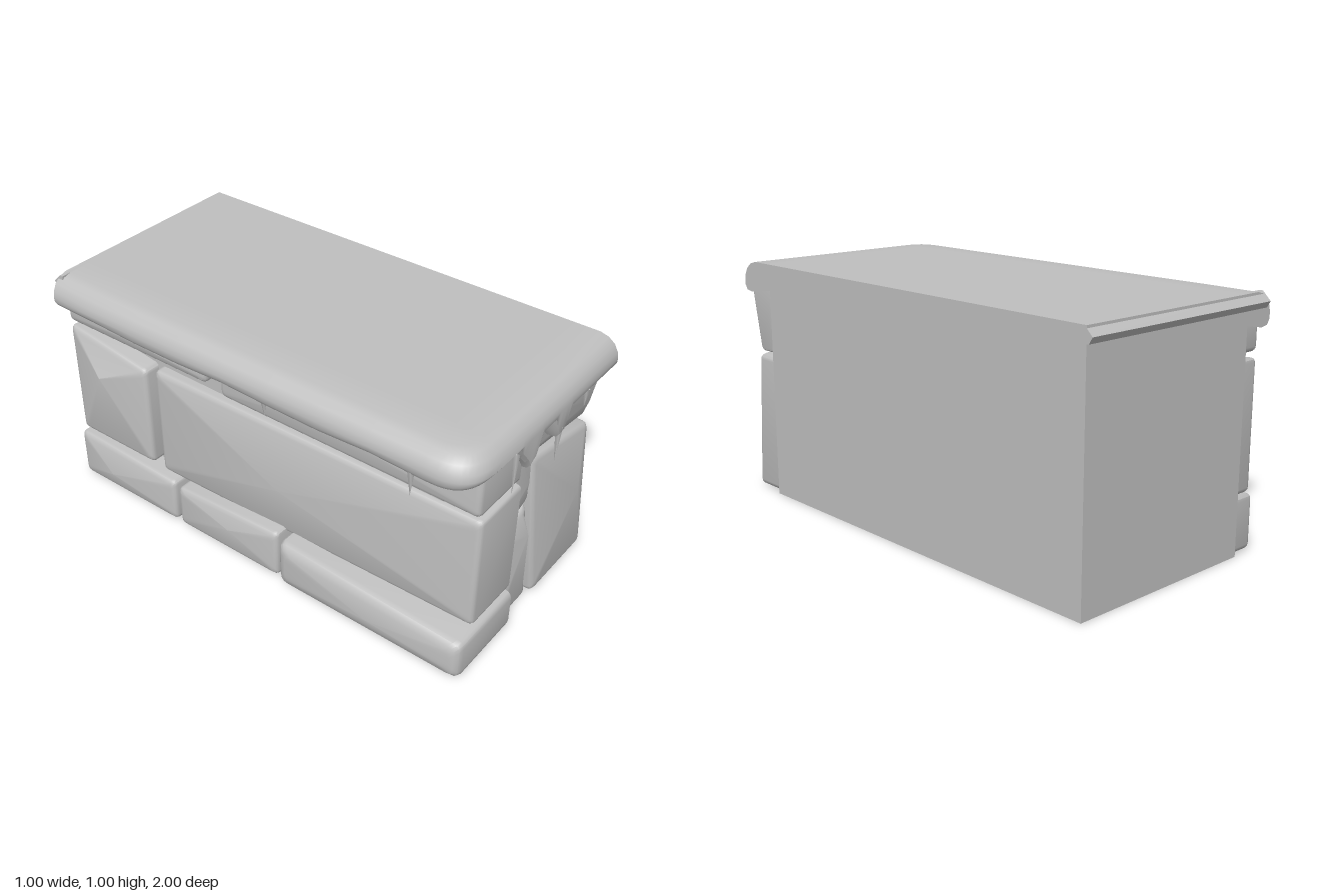
import * as THREE from 'three';
import { toCreasedNormals } from 'three/addons/utils/BufferGeometryUtils.js';

const grey = new THREE.MeshStandardMaterial({ color: 0xc0c0c0 });
grey.name = 'stoneGrey';

// Move every edge of a counter-clockwise polygon inwards by d
function inset(poly, d) {
  const n = poly.length;
  return poly.map((p, i) => {
    const a = poly[(i + n - 1) % n], b = poly[(i + 1) % n];
    const e1 = p.clone().sub(a).normalize(), e2 = b.clone().sub(p).normalize();
    const n1 = new THREE.Vector2(-e1.y, e1.x), n2 = new THREE.Vector2(-e2.y, e2.x);
    return n1.clone().add(n2).multiplyScalar(d / (1 + n1.dot(n2))).add(p);
  });
}

// Replace each corner by a short curve
function rounded(poly, r) {
  const out = [], n = poly.length;
  poly.forEach((p, i) => {
    const a = poly[(i + n - 1) % n].clone().sub(p).setLength(r).add(p);
    const b = poly[(i + 1) % n].clone().sub(p).setLength(r).add(p);
    const curve = new THREE.QuadraticBezierCurve(a, p, b);
    out.push(...curve.getPoints(3));
  });
  return out;
}

// Surface through a list of equal-length loops of [x, y, z] points
function loft(loops, closed, extra = []) {
  const n = loops[0].length, pos = loops.flat(2), idx = [...extra];
  for (let i = 0; i < loops.length - 1; i++) {
    for (let j = 0; j < (closed ? n : n - 1); j++) {
      const k = (j + 1) % n, a = i * n + j, b = i * n + k;
      idx.push(a, b, a + n, b, b + n, a + n);
    }
  }
  const g = new THREE.BufferGeometry();
  g.setAttribute('position', new THREE.Float32BufferAttribute(pos, 3));
  g.setIndex(idx);
  return toCreasedNormals(g, 0.6);
}

// Bevelled stone: outline in (u, v), rising from base to a sloped rim and a peak
function stone({ outline, base, rim, peak, slope = [0, 0], bevel = 0.022, round = 0.02 }) {
  const poly = outline.map(p => new THREE.Vector2(...p));
  const c = poly.reduce((s, p) => s.add(p), new THREE.Vector2()).divideScalar(poly.length);
  const depth = p => rim + slope[0] * (p.x - c.x) + slope[1] * (p.y - c.y);
  const loops = [rounded(poly, round).map(p => [p.x, p.y, base])];
  for (let k = 0; k <= 3; k++) {
    const t = k / 3 * Math.PI / 2;
    const loop = rounded(inset(poly, bevel * (1 - Math.cos(t))), round);
    loops.push(loop.map(p => [p.x, p.y, depth(p) - bevel * (1 - Math.sin(t))]));
  }
  loops.push(loops[0].map(() => peak));
  return loft(loops, true);
}

// Lower edge of the snow along the front
const DRIPS = [[0.5, 0.87], [0.16, 0.87], [0.14, 0.83], [0.12, 0.79], [0.09, 0.785], [0.07, 0.82],
  [0.05, 0.87], [-0.04, 0.87], [-0.075, 0.79], [-0.11, 0.77], [-0.13, 0.805], [-0.17, 0.85],
  [-0.2, 0.893], [-0.34, 0.895], [-0.37, 0.87]];

function snowGeometry() {
  const W = 0.19, path = [];
  // Each step: inner point, outward vector and lower edge
  DRIPS.forEach(([x, b], i) => {
    if (x > -0.31) path.push([x, 0.81, 0, 1, b]);
  });
  for (let i = 0; i <= 10; i++) {
    const t = i / 10 * Math.PI / 2;
    const f = v => Math.pow(Math.max(v, 0), 0.7);
    path.push([-0.31, 0.81, -f(Math.sin(t)), f(Math.cos(t)), 0.89 - 0.025 * Math.sin(t)]);
  }
  for (let i = 1; i <= 8; i++) {
    path.push([-0.31, 0.81 - 1.785 * i / 8, i === 8 ? -0.93 : -1, 0, 0.868 + 0.006 * Math.sin(i * 2)]);
  }
  const loops = path.map(([x, z, nx, nz, b]) => {
    const profile = [[W, 1], [0.085, 1], [0.05, 0.991], [0.022, 0.97], [0.005, 0.94], [0, 0.915],
      [0.002, b + 0.025], [0.015, b + 0.006], [0.05, b], [W, 0.89]];
    return profile.map(([d, y]) => [x + nx * (W - d), y, z + nz * (W - d)]);
  });
  // End caps
  const m = loops[0].length, last = (loops.length - 1) * m, caps = [];
  for (let j = 1; j < m - 1; j++) caps.push(0, j, j + 1, last, last + j + 1, last + j);
  // Loft runs along the profile first, so the path is reversed to face outwards
  const g = loft(loops.slice().reverse(), false,
    caps.map(i => (loops.length - 1 - Math.floor(i / m)) * m + i % m));
  return g;
}

export function createModel() {
  const model = new THREE.Group();
  const add = (name, geometry) => {
    const mesh = new THREE.Mesh(geometry, grey);
    mesh.name = name;
    model.add(mesh);
    return mesh;
  };

  // Plain core block
  add('core', new THREE.BoxGeometry(0.85, 0.95, 1.785)).position.set(0.075, 0.475, -0.0825);

  // Stones on the front
  const front = [
    { outline: [[0.1, 0.01], [0.492, 0.01], [0.492, 0.6], [0.06, 0.68]], rim: 0.95, slope: [0, -0.07], peak: [0.35, 0.38, 0.99] },
    { outline: [[0.06, 0.7], [0.498, 0.62], [0.498, 0.93], [0.04, 0.93]], rim: 0.94, slope: [0, 0.2], peak: [0.36, 0.79, 0.975] },
    { outline: [[-0.14, 0.01], [0.085, 0.01], [0.057, 0.475], [-0.14, 0.405]], rim: 0.94, slope: [0, -0.06], peak: [0.02, 0.36, 0.965] },
    { outline: [[-0.14, 0.43], [0.055, 0.5], [0.035, 0.93], [-0.14, 0.93]], rim: 0.93, peak: [0.0, 0.62, 0.95] },
  ];
  front.forEach(s => add('frontStone', stone({ base: 0.8, ...s })));

  // Stones along the right side; those at the front wrap around the corner
  const box = (z0, z1, y0, y1, y2 = y1) => [[z0, y0], [z1, y0], [z1, y2], [z0, y1]];
  const side = [
    { outline: box(-0.972, -0.42, 0.01, 0.23, 0.21), rim: 0.45, peak: [-0.75, 0.12, 0.49] },
    { outline: box(-0.4, 0.13, 0.01, 0.2, 0.23), rim: 0.45, peak: [-0.1, 0.15, 0.48] },
    { outline: box(0.15, 0.99, 0.01, 0.22, 0.182), rim: 0.475, peak: [0.6, 0.1, 0.498], bevel: 0.04, round: 0.03 },
    { outline: box(-0.972, -0.55, 0.24, 0.76, 0.7), rim: 0.43, peak: [-0.75, 0.62, 0.498] },
    { outline: box(-0.53, 0.975, 0.2, 0.7, 0.69), rim: 0.385, slope: [-0.02, 0], peak: [0.15, 0.47, 0.46] },
    { outline: box(-0.972, -0.22, 0.78, 0.92), rim: 0.43, peak: [-0.6, 0.85, 0.46] },
    { outline: box(-0.2, 0.965, 0.705, 0.92), rim: 0.375, peak: [0.3, 0.82, 0.4] },
  ];
  side.forEach(s => add('sideStone', stone({ base: 0.11, ...s })).rotation.y = -Math.PI / 2);

  // Snow cover: rolled edge, flat top and thin lip at the back
  add('snowEdge', snowGeometry());
  add('snowTop', new THREE.BoxGeometry(0.81, 0.06, 1.785)).position.set(0.095, 0.97, -0.0825);
  const lip = new THREE.Shape([[0.95, 1], [0.965, 1], [1, 0.965], [0.985, 0.94], [0.95, 0.94]]
    .map(([z, y]) => new THREE.Vector2(z, y)));
  const lipMesh = add('snowBackLip', new THREE.ExtrudeGeometry(lip, { depth: 0.95, bevelEnabled: false }));
  lipMesh.rotation.y = Math.PI / 2;
  lipMesh.scale.x = 1;
  lipMesh.position.x = -0.45;

  // Icicles: x, z, top, tip
  const icicles = [[-0.18, 0.975, 0.88, 0.7], [0.105, 0.985, 0.83, 0.66], [0.29, 0.985, 0.89, 0.81],
    [-0.475, 0.75, 0.88, 0.77], [-0.46, 0.1, 0.88, 0.8]];
  icicles.forEach(([x, z, top, tip]) => {
    const cone = add('icicle', new THREE.ConeGeometry(0.015, top - tip, 6));
    cone.rotation.x = Math.PI;
    cone.position.set(x, (top + tip) / 2, z);
  });
  return model;
}
